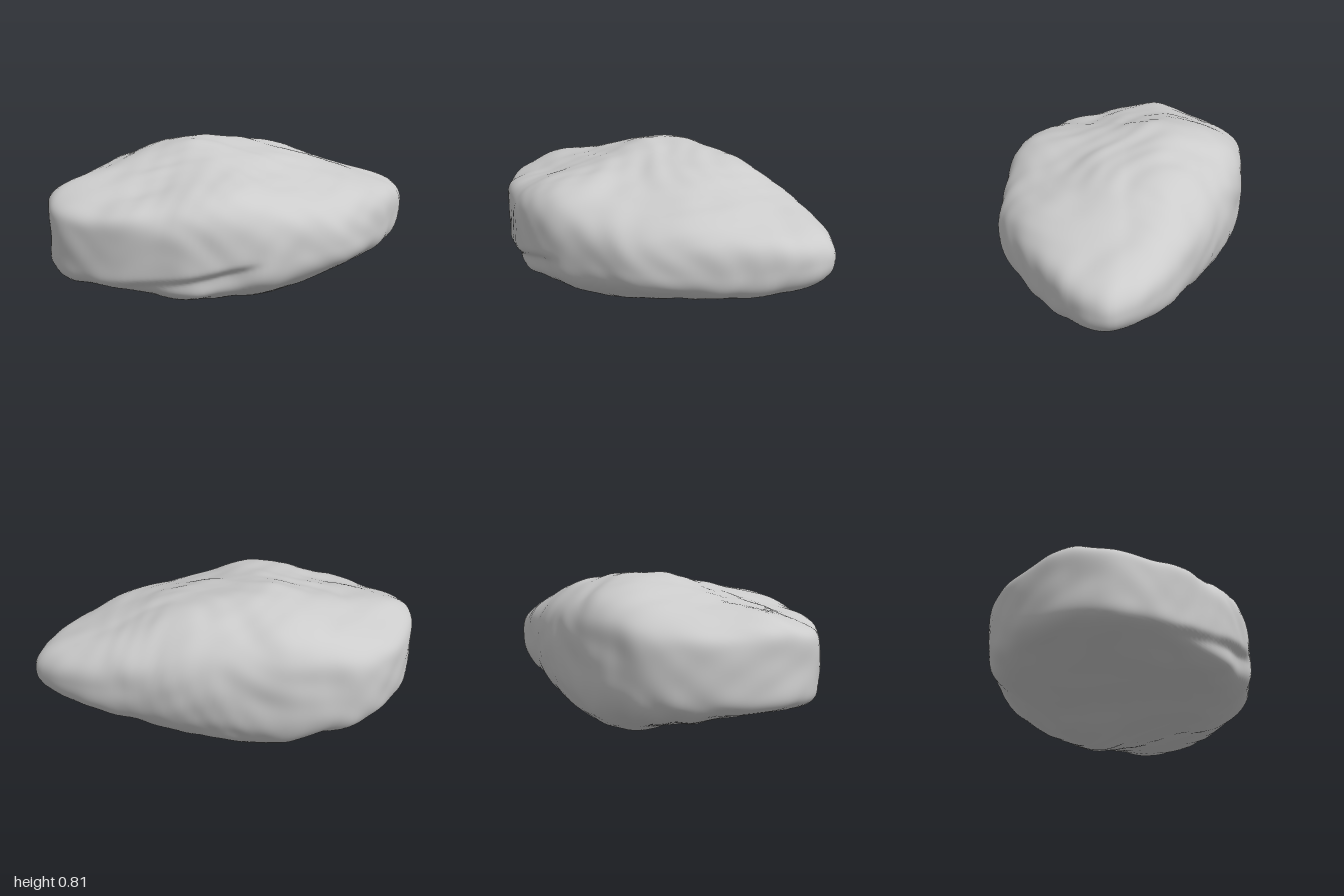
import * as THREE from 'three';

const { smoothstep } = THREE.MathUtils;

// smooth curve through [position, value] pairs
function lookup(pts, t) {
  const n = pts.length;
  if (t <= pts[0][0]) return pts[0][1];
  if (t >= pts[n - 1][0]) return pts[n - 1][1];
  const i = pts.findIndex(p => p[0] > t);
  const slope = k => {
    const a = pts[Math.max(k - 1, 0)], b = pts[Math.min(k + 1, n - 1)];
    return (b[1] - a[1]) / (b[0] - a[0]);
  };
  const [a, va] = pts[i - 1], [b, vb] = pts[i], h = b - a, u = (t - a) / h;
  return va + (vb - va) * u * u * (3 - 2 * u) + h * u * (1 - u) * (slope(i - 1) * (1 - u) - slope(i) * u);
}

// plan outline of the boulder (x, z)
const OUTLINE = [
  [1, 0.06], [0.93, 0.2], [0.8, 0.33], [0.6, 0.47], [0.4, 0.58], [0.2, 0.64], [0, 0.645],
  [-0.3, 0.62], [-0.5, 0.56], [-0.6, 0.5], [-0.8, 0.32], [-0.9, 0.2], [-0.98, 0.05], [-1, -0.05],
  [-0.97, -0.2], [-0.88, -0.36], [-0.7, -0.54], [-0.5, -0.64], [-0.3, -0.65], [-0.1, -0.63],
  [0.1, -0.57], [0.3, -0.48], [0.5, -0.37], [0.7, -0.26], [0.85, -0.15], [0.95, -0.04],
];

// crown and underside heights along x, and their falloff across z
const TOP_X = [[-1, 0.62], [-0.8, 0.665], [-0.6, 0.7], [-0.4, 0.755], [-0.2, 0.805], [0, 0.8], [0.3, 0.77], [0.5, 0.725], [0.7, 0.68], [1, 0.69]];
const TOP_Z = [[-0.65, -0.06], [-0.4, -0.02], [-0.2, 0], [0, -0.03], [0.2, -0.06], [0.4, -0.06], [0.65, -0.06]];
const LOW_X = [[-1, 0.18], [-0.8, 0.165], [-0.6, 0.125], [-0.3, 0.06], [-0.15, 0.005], [0, 0.005], [0.2, 0.03], [0.4, 0.075], [0.6, 0.125], [0.8, 0.15], [1, 0.16]];
const LOW_Z = [[-0.65, 0.06], [-0.4, 0.02], [-0.2, 0], [0, 0.045], [0.2, 0.08], [0.42, 0.095], [0.65, 0.14]];

// by compass angle: squareness of the wall, and height of its widest line
const POWER = [[-180, 8], [-140, 5.5], [-90, 3.3], [-30, 3], [0, 2.5], [30, 3.5], [80, 2.9], [115, 4], [150, 6], [180, 8]];
const WAIST = [[-180, 0.41], [-120, 0.42], [-30, 0.42], [5, 0.4], [30, 0.38], [70, 0.37], [110, 0.36], [150, 0.38], [180, 0.41]];

const SEGMENTS = 160, RINGS = 100;

// crown: lower toward the back left corner and in a dip at the front middle
function topHeight(x, z) {
  const corner = 0.025 * (1 - smoothstep(x, -0.8, -0.3)) * (1 - smoothstep(z, -0.5, -0.15));
  const dip = 0.065 * (1 - smoothstep(Math.abs(x - 0.1), 0.1, 0.6)) * smoothstep(z, 0.1, 0.45);
  return lookup(TOP_X, x) + lookup(TOP_Z, z) - corner - dip;
}

// underside: keeled in the middle, flatter toward both ends
function lowHeight(x, z) {
  return lookup(LOW_X, x) + lookup(LOW_Z, z) * (1 - 0.85 * smoothstep(Math.abs(x - 0.1), 0.2, 0.75));
}

// weathering: broad swells, warped lumps and fine grain
function roughness(x, y, z) {
  const u = x + 0.08 * Math.sin(7 * z + 4 * y), v = z + 0.08 * Math.sin(6 * x - 5 * y), w = y + 0.06 * Math.sin(8 * x + 7 * z);
  const swell = Math.sin(5 * u + 3 * v + 1) * Math.sin(6 * v - 4 * w);
  const lumps = Math.sin(14 * u + 5 * w) * Math.sin(15 * v + 2) + Math.sin(17 * w - 8 * u) * Math.sin(12 * v - 9 * u);
  const grain = Math.sin(31 * u + 9 * v) * Math.sin(27 * v - 12 * w) + Math.sin(33 * w + 8 * u) * Math.sin(22 * u - 19 * v);
  return 0.004 * swell + 0.004 * lumps + 0.002 * grain;
}

function surfacePoint(edge, phi) {
  // rounded profile from crown (phi = 0) to underside (phi = PI)
  const angle = Math.atan2(edge.y, edge.x) * 180 / Math.PI;
  const power = lookup(POWER, angle), waist = lookup(WAIST, angle);
  const sn = Math.sin(phi), cs = Math.cos(phi);
  const k = Math.pow(Math.abs(sn) ** power + Math.abs(cs) ** power, -1 / power);
  const s = sn * k, w = cs * k;
  let x = -0.05 + (edge.x + 0.05) * s, z = edge.y * s;
  const limit = w > 0 ? topHeight(x, z) : lowHeight(x, z);
  let y = waist + Math.abs(w) * (limit - waist);

  // roughen sideways on the walls and vertically on the faces
  const n = roughness(x, y, z), len = Math.hypot(edge.x, edge.y);
  x += n * s ** 4 * edge.x / len;
  z += n * s ** 4 * edge.y / len;
  y += n * w;

  // slanting cleft low on the front wall, with an overhanging upper lip
  if (z > 0) {
    const d = y - (0.21 + 0.2 * (x + 0.8));
    const span = smoothstep(x, -0.95, -0.75) * (1 - smoothstep(x, -0.4, -0.18));
    z -= 0.04 * span * s ** 4 * Math.exp(-((d / (d > 0 ? 0.03 : 0.08)) ** 2));
  }
  return [x, y, z];
}

function boulderGeometry() {
  const curve = new THREE.CatmullRomCurve3(OUTLINE.map(([x, z]) => new THREE.Vector3(x, z, 0)), true);
  const edges = curve.getSpacedPoints(SEGMENTS).slice(0, SEGMENTS);
  const pos = surfacePoint(edges[0], 0), index = [];
  for (let r = 1; r < RINGS; r++) {
    for (const e of edges) pos.push(...surfacePoint(e, Math.PI * r / RINGS));
  }
  pos.push(...surfacePoint(edges[0], Math.PI));
  const last = pos.length / 3 - 1;
  const at = (r, i) => 1 + (r - 1) * SEGMENTS + i % SEGMENTS;
  for (let i = 0; i < SEGMENTS; i++) {
    index.push(0, at(1, i + 1), at(1, i));
    for (let r = 1; r < RINGS - 1; r++) {
      const a = at(r, i), b = at(r, i + 1), c = at(r + 1, i), d = at(r + 1, i + 1);
      index.push(a, b, c, b, d, c);
    }
    index.push(at(RINGS - 1, i), at(RINGS - 1, i + 1), last);
  }
  const g = new THREE.BufferGeometry();
  g.setAttribute('position', new THREE.Float32BufferAttribute(pos, 3));
  g.setIndex(index);
  g.computeVertexNormals();
  // rest on the ground
  g.computeBoundingBox();
  g.translate(0, -g.boundingBox.min.y, 0);
  return g;
}

export function createModel() {
  const group = new THREE.Group();
  const boulder = new THREE.Mesh(boulderGeometry(), new THREE.MeshStandardMaterial({ color: 0xcccccc }));
  boulder.name = 'boulder';
  group.add(boulder);
  return group;
}
